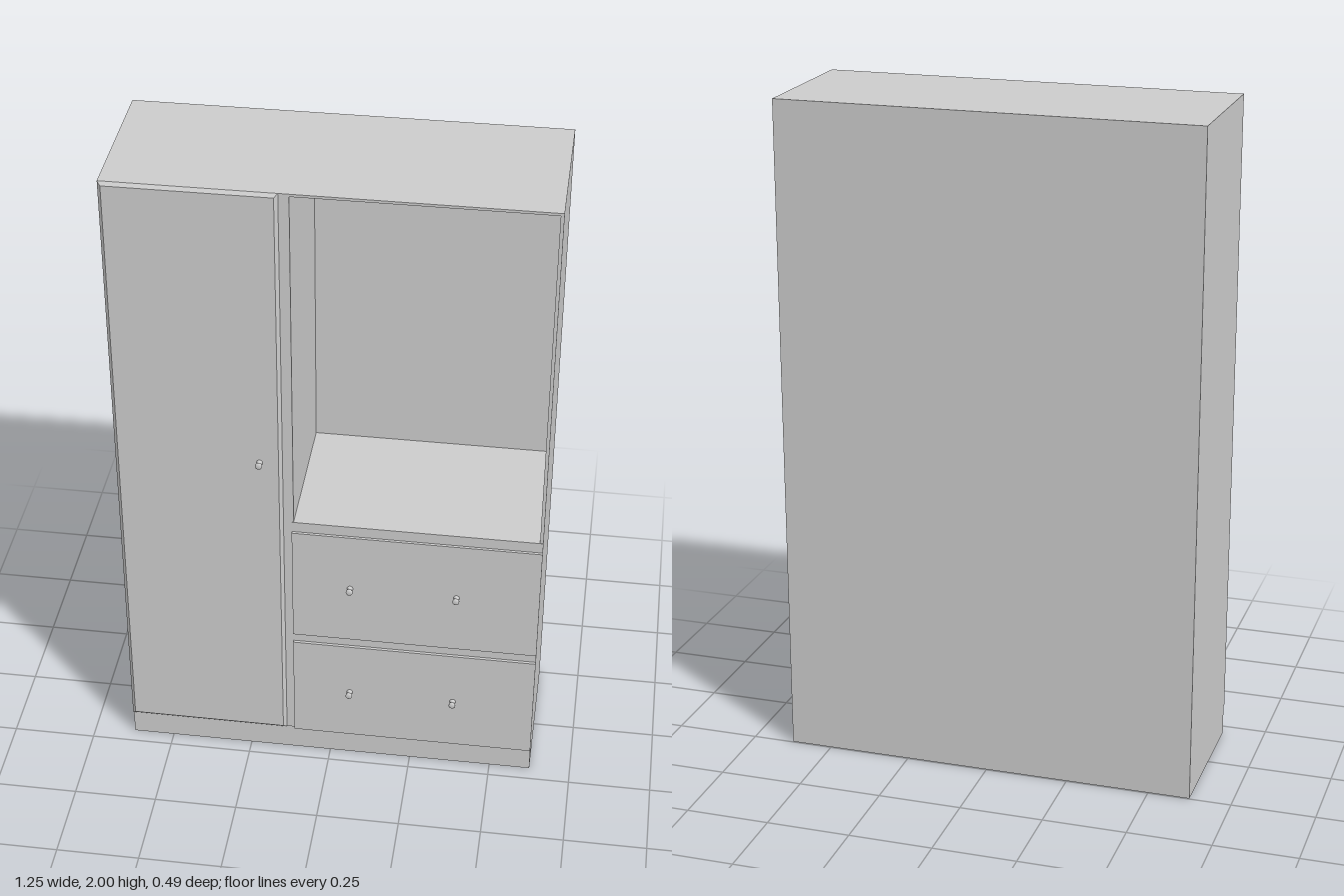
import * as THREE from 'three';

const material = new THREE.MeshStandardMaterial({ color: 0xcccccc });
const BACK = -0.247, CARCASS_FRONT = 0.214, PANEL_FRONT = 0.223;

function add(parent, name, geometry) {
  const mesh = new THREE.Mesh(geometry, material);
  mesh.name = name;
  parent.add(mesh);
  return mesh;
}

// Box given by its limits on each axis
function block(x0, x1, y0, y1, z0, z1) {
  return new THREE.BoxGeometry(x1 - x0, y1 - y0, z1 - z0)
    .translate((x0 + x1) / 2, (y0 + y1) / 2, (z0 + z1) / 2);
}

// Panel whose front face is inset, giving chamfered edges
function chamferedPanel(x0, x1, y0, y1, inset) {
  const geometry = block(x0, x1, y0, y1, CARCASS_FRONT, PANEL_FRONT);
  const p = geometry.attributes.position;
  const cx = (x0 + x1) / 2, cy = (y0 + y1) / 2;
  for (let i = 0; i < p.count; i++) {
    if (p.getZ(i) < PANEL_FRONT - 0.001) continue;
    p.setX(i, p.getX(i) - Math.sign(p.getX(i) - cx) * inset);
    p.setY(i, p.getY(i) - Math.sign(p.getY(i) - cy) * inset);
  }
  geometry.computeVertexNormals();
  return geometry;
}

function rectangle(PathType, x0, x1, y0, y1) {
  const path = new PathType();
  path.moveTo(x0, y0).lineTo(x1, y0).lineTo(x1, y1).lineTo(x0, y1).closePath();
  return path;
}

export function createModel() {
  const wardrobe = new THREE.Group();
  wardrobe.name = 'wardrobe';

  // Carcass with the open niche cut through to the back panel
  const outline = rectangle(THREE.Shape, -0.625, 0.625, 0.09, 2);
  outline.holes.push(rectangle(THREE.Path, -0.105, 0.615, 0.9, 1.992));
  const backInside = BACK + 0.01;
  add(wardrobe, 'carcass', new THREE.ExtrudeGeometry(outline, {
    depth: CARCASS_FRONT - backInside, bevelEnabled: false,
  }).translate(0, 0, backInside));
  add(wardrobe, 'backPanel', block(-0.625, 0.625, 0.09, 2, BACK, backInside));

  // Recessed base
  add(wardrobe, 'plinth', block(-0.625, 0.625, 0, 0.09, BACK, 0.204));

  // Tall door
  add(wardrobe, 'door', chamferedPanel(-0.625, -0.135, 0.088, 2, 0.01));

  // Frame around the niche, flush with the drawer fronts
  add(wardrobe, 'nicheRail', block(-0.11, 0.625, 0.866, 0.9, CARCASS_FRONT, 0.216));

  // Drawer fronts
  for (const [name, y0, y1] of [['lowerDrawer', 0.09, 0.445], ['upperDrawer', 0.477, 0.865]]) {
    add(wardrobe, name, block(-0.11, 0.625, y0, y1, CARCASS_FRONT, PANEL_FRONT));
  }

  // Turned knobs, lathed along z
  const profile = [[0.009, 0], [0.009, 0.003], [0.006, 0.005], [0.006, 0.012],
    [0.01, 0.015], [0.01, 0.021], [0.007, 0.024], [0, 0.024]];
  const knob = new THREE.LatheGeometry(profile.map(([r, h]) => new THREE.Vector2(r, h)), 16)
    .rotateX(Math.PI / 2);
  const places = [['doorKnob', -0.2, 1.113]];
  for (const y of [0.265, 0.675]) {
    for (const x of [0.063, 0.38]) places.push(['drawerKnob', x, y]);
  }
  for (const [name, x, y] of places) add(wardrobe, name, knob).position.set(x, y, PANEL_FRONT);

  return wardrobe;
}
